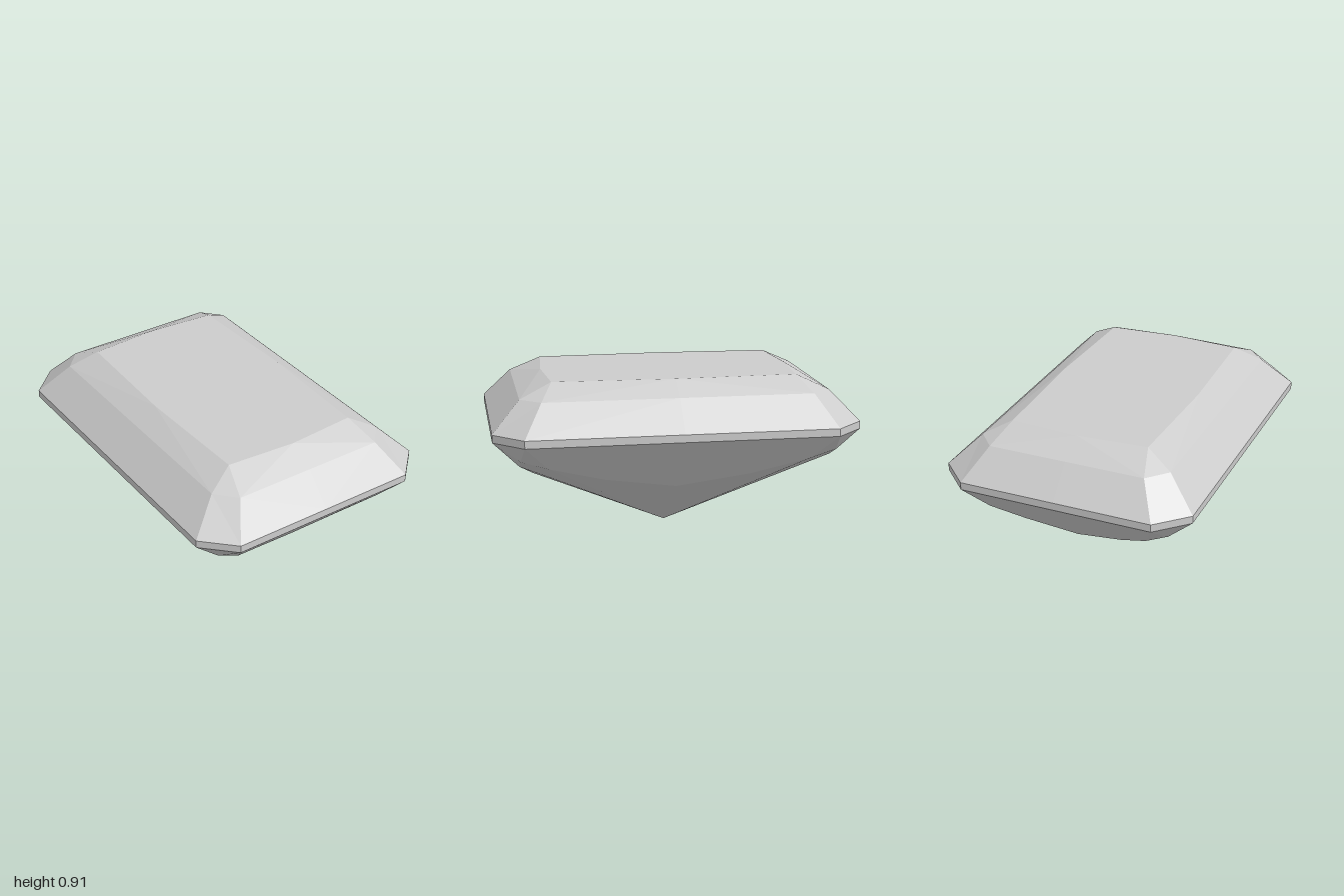
import * as THREE from 'three';

const stone = new THREE.MeshStandardMaterial({ color: 0xcccccc });
stone.name = 'greyStone';

// Mirrors the facets of one quarter into all four quarters; each facet is a
// fan of corners around its first point, turned to face away from the core.
function cutPart(name, facets) {
  const core = new THREE.Vector3(0, 0.5, 0);
  const points = [];
  for (const sx of [1, -1]) for (const sz of [1, -1]) {
    for (const facet of facets) {
      const p = facet.map(([x, y, z]) => new THREE.Vector3(x * sx, y, z * sz));
      for (let i = 1; i < p.length - 1; i++) {
        const tri = new THREE.Triangle(p[0], p[i], p[i + 1]);
        const normal = tri.getNormal(new THREE.Vector3());
        const out = tri.getMidpoint(new THREE.Vector3()).sub(core);
        if (normal.dot(out) > 0) points.push(p[0], p[i], p[i + 1]);
        else points.push(p[0], p[i + 1], p[i]);
      }
    }
  }
  const geometry = new THREE.BufferGeometry().setFromPoints(points);
  geometry.computeVertexNormals();
  const mesh = new THREE.Mesh(geometry, stone);
  mesh.name = name;
  return mesh;
}

export function createModel() {
  const group = new THREE.Group();
  group.name = 'cutGem';

  // Girdle outline of one quarter, from the front middle to the side middle
  const outline = (y) => [[0, y, 1], [0.537, y, 1], [0.7, y, 0.84], [0.7, y, 0]];
  const low = outline(0.625);
  const high = outline(0.667);
  const girdle = [0, 1, 2].map((i) => [low[i], low[i + 1], high[i + 1], high[i]]);
  group.add(cutPart('girdle', girdle));

  // Crown: steep bezel, shallow star facets and flat table
  const y1 = 0.83, y2 = 0.91;
  const bezel = [[0, y1, 0.847], [0.437, y1, 0.847], [0.537, y1, 0.738], [0.537, y1, 0]];
  const table = [[0, y2, 0.7], [0.387, y2, 0.672], [0.41, y2, 0]];
  const crown = [0, 1, 2].map((i) => [high[i], high[i + 1], bezel[i + 1], bezel[i]]);
  crown.push(
    [bezel[0], bezel[1], table[0]],
    [bezel[1], table[1], table[0]],
    [bezel[1], bezel[2], table[1]],
    [bezel[2], table[2], table[1]],
    [bezel[2], bezel[3], table[2]],
    [[0, y2, 0], ...table],
  );
  group.add(cutPart('crown', crown));

  // Pavilion: main facets with an arched lower edge, then facets to the tip
  const tip = [0, 0, 0];
  const corner = [0.575, 0.525, 0.857];
  const frontArch = [[0.45, 0.467, 0.855], [0.28, 0.385, 0.775], [0, 0.315, 0.71]];
  const sideArch = [[0.578, 0.48, 0.71], [0.49, 0.385, 0.4], [0.43, 0.315, 0]];
  const pavilion = [
    [low[1], corner, ...frontArch, low[0]],
    [low[2], corner, ...sideArch, low[3]],
    [low[1], low[2], corner],
    [corner, frontArch[0], sideArch[0]],
    [tip, frontArch[0], sideArch[0]],
  ];
  for (const arch of [frontArch, sideArch]) {
    pavilion.push([tip, arch[0], arch[1]], [tip, arch[1], arch[2]]);
  }
  group.add(cutPart('pavilion', pavilion));

  return group;
}
